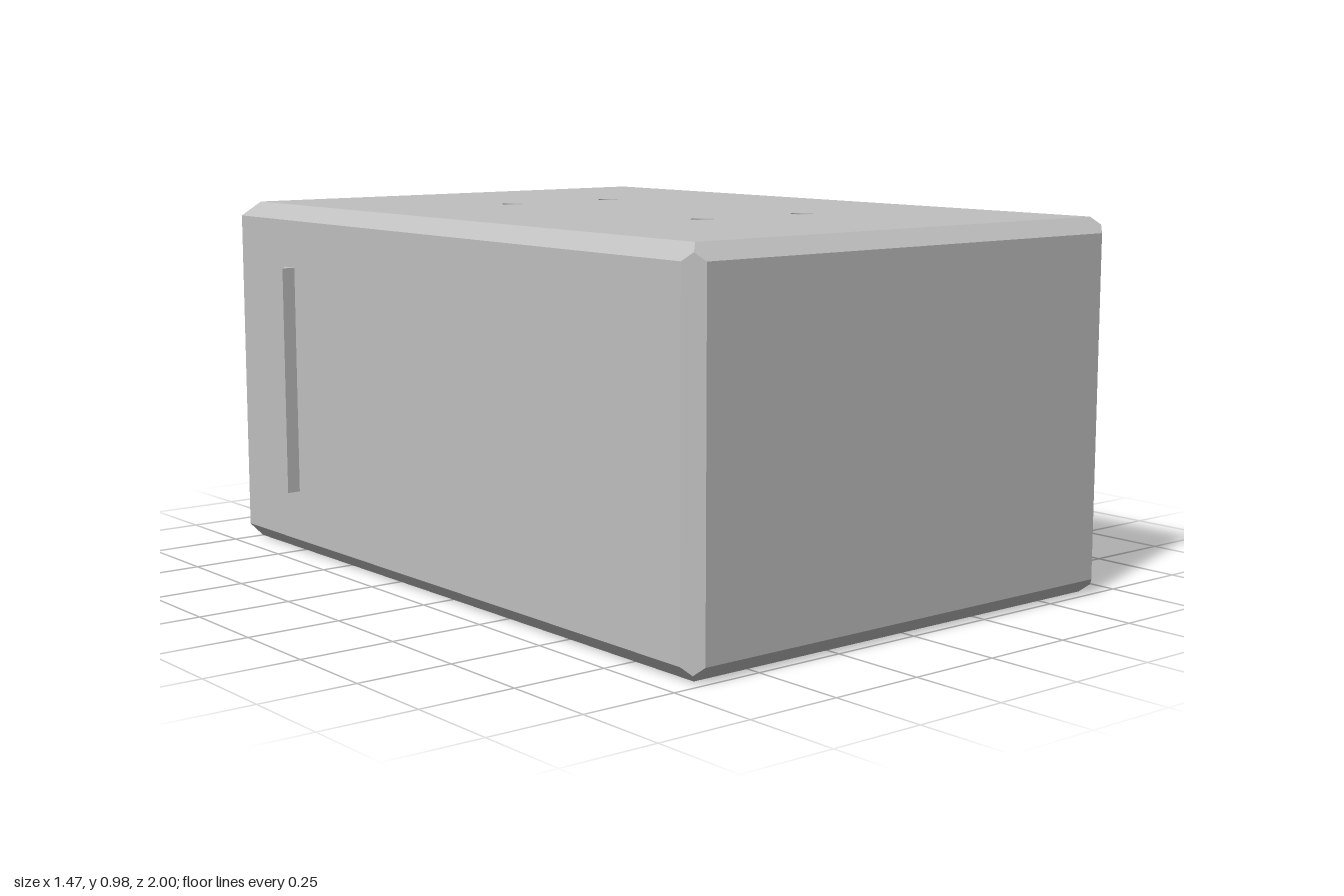
import * as THREE from 'three';

// Main dimensions: half width, height, half depth, and the same less the chamfer
const W = 0.7, H = 0.98, D = 1, C = 0.04;
const w = W - C, h = H - C, d = D - C;
// Cavity: half width, floor, ceiling, front end
const IW = 0.65, FLOOR = 0.05, CEIL = 0.87, IZ = 0.95;

// Flat convex polygons, each turned away from (or towards) the middle of the box
function polygons(list, inward = false) {
  const middle = new THREE.Vector3(0, H / 2, 0);
  const pos = [];
  for (const corners of list) {
    const p = corners.map((c) => new THREE.Vector3(...c));
    const n = p[1].clone().sub(p[0]).cross(p[2].clone().sub(p[0]));
    if (n.dot(p[0].clone().sub(middle)) < 0 !== inward) p.reverse();
    for (let i = 1; i < p.length - 1; i++) {
      for (const v of [p[0], p[i], p[i + 1]]) pos.push(v.x, v.y, v.z);
    }
  }
  const g = new THREE.BufferGeometry();
  g.setAttribute('position', new THREE.Float32BufferAttribute(pos, 3));
  g.computeVertexNormals();
  return g;
}

const shapeOf = (pts) => new THREE.Shape(pts.map(([x, y]) => new THREE.Vector2(x, y)));

export function createModel() {
  const group = new THREE.Group();
  const grey = new THREE.MeshStandardMaterial({ color: 0xc0c0c0, side: THREE.DoubleSide });
  const add = (name, geometry) => {
    const mesh = new THREE.Mesh(geometry, grey);
    mesh.name = name;
    group.add(mesh);
    return mesh;
  };

  // Outer walls
  add('frontWall', polygons([[[-w, C, D], [w, C, D], [w, h, D], [-w, h, D]]]));
  add('sideWalls', polygons([-1, 1].map((s) =>
    [[s * W, C, -D], [s * W, C, d], [s * W, h, d], [s * W, h, -D]])));

  // Chamfered edges, meeting at a point in each front corner
  const mx = W - C / 2, mz = D - C / 2, top = H - C / 2, low = C / 2;
  const chamfers = [
    [[-w, h, D], [w, h, D], [mx, top, mz], [w, H, d], [-w, H, d], [-mx, top, mz]],
    [[-w, C, D], [w, C, D], [mx, low, mz], [w, 0, d], [-w, 0, d], [-mx, low, mz]],
    [[w, H, -d], [W, h, -D], [-W, h, -D], [-w, H, -d]],
  ];
  for (const s of [-1, 1]) {
    chamfers.push(
      [[s * w, H, -d], [s * w, H, d], [s * mx, top, mz], [s * W, h, d], [s * W, h, -D]],
      [[s * w, 0, -D], [s * W, C, -D], [s * W, C, d], [s * mx, low, mz], [s * w, 0, d]],
      [[s * w, h, D], [s * w, C, D], [s * mx, low, mz], [s * W, C, d], [s * W, h, d], [s * mx, top, mz]]
    );
  }
  add('chamferedEdges', polygons(chamfers));

  // Cavity walls
  add('cavityWalls', polygons([
    [[-IW, FLOOR, IZ], [IW, FLOOR, IZ], [IW, CEIL, IZ], [-IW, CEIL, IZ]],
    ...[-1, 1].map((s) =>
      [[s * IW, FLOOR, -D], [s * IW, FLOOR, IZ], [s * IW, CEIL, IZ], [s * IW, CEIL, -D]]),
  ], true));

  // Rim around the open back, above and beside the floor
  const rim = new THREE.ShapeGeometry(shapeOf([
    [w, 0], [W, C], [W, h], [-W, h], [-W, C], [-w, 0], [-w, FLOOR], [-IW, FLOOR],
    [-IW, CEIL], [IW, CEIL], [IW, FLOOR], [w, FLOOR],
  ]));
  add('backRim', rim.rotateY(Math.PI).translate(0, 0, -D));

  // Floor with five vent slots and a latch notch at the back
  const NOTCH = 0.15, NZ = -0.91;
  const floor = shapeOf([
    [-w, -D], [-NOTCH, -D], [-NOTCH, NZ], [NOTCH, NZ], [NOTCH, -D], [w, -D], [w, d], [-w, d],
  ]);
  for (let i = -2; i <= 2; i++) {
    const slot = new THREE.Path(), x = i * 0.23, r = 0.035, end = 0.6;
    slot.absarc(x, end, r, 0, Math.PI, false);
    slot.absarc(x, -end, r, Math.PI, Math.PI * 2, false);
    slot.closePath();
    floor.holes.push(slot);
  }
  const floorPlate = new THREE.ExtrudeGeometry(floor, { depth: FLOOR, bevelEnabled: false, curveSegments: 16 });
  add('slottedFloor', floorPlate.rotateX(Math.PI / 2).translate(0, FLOOR, 0));
  add('latchNotchBase', new THREE.BoxGeometry(NOTCH * 2, 0.02, D + NZ)).position.set(0, 0.01, (NZ - D) / 2);

  // Roof: outer and inner faces joined by countersunk screw holes
  const holes = [-1, 1].flatMap((a) => [-1, 1].map((b) => [a * 0.17, b * 0.41]));
  const roofFace = (hw, z0, z1, radius) => {
    const s = shapeOf([[-hw, z0], [hw, z0], [hw, z1], [-hw, z1]]);
    for (const [x, z] of holes) s.holes.push(new THREE.Path().absarc(x, z, radius, 0, Math.PI * 2, true));
    return new THREE.ShapeGeometry(s, 24);
  };
  add('roofTop', roofFace(w, -d, d, 0.03).rotateX(-Math.PI / 2).translate(0, H, 0));
  add('ceiling', roofFace(IW, -D, IZ, 0.05).rotateX(Math.PI / 2).translate(0, CEIL, 0));
  const bore = [[0.03, H], [0.03, 0.92], [0.03, 0.92], [0.05, CEIL]].map(([r, y]) => new THREE.Vector2(r, y));
  for (const [x, z] of holes) {
    add('screwHole', new THREE.LatheGeometry(bore, 48)).position.set(x, 0, z);
  }

  // Wedge-shaped snap ridges on both sides
  for (const s of [-1, 1]) {
    const wedge = shapeOf([[s * 0.695, -0.707], [s * 0.737, -0.707], [s * 0.7, -0.76], [s * 0.695, -0.76]]);
    const ridge = new THREE.ExtrudeGeometry(wedge, { depth: 0.63, bevelEnabled: false });
    add(s > 0 ? 'leftSnapRidge' : 'rightSnapRidge', ridge.rotateX(Math.PI / 2).translate(0, 0.81, 0));
  }

  return group;
}
